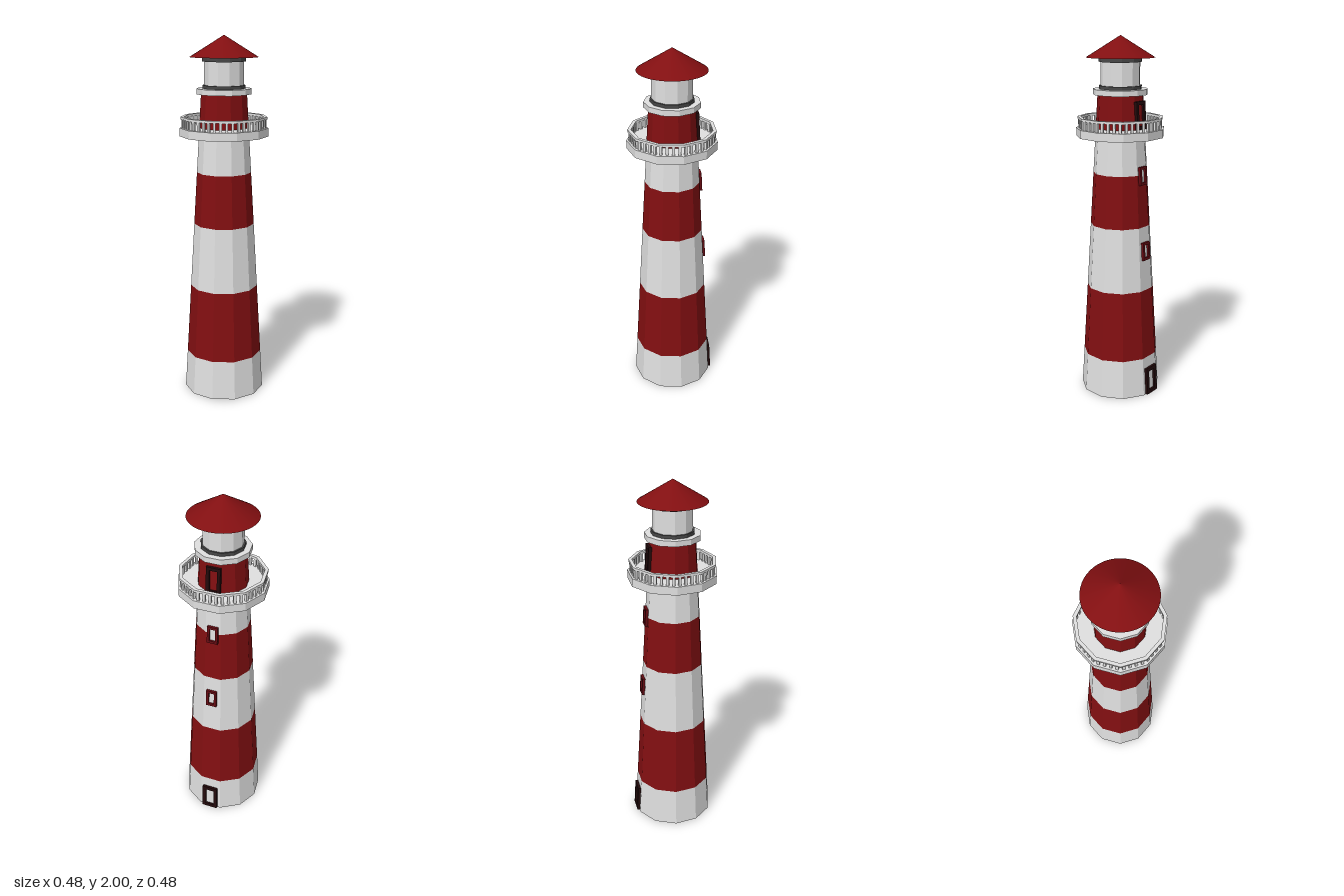
import * as THREE from 'three';
import { mergeGeometries } from 'three/addons/utils/BufferGeometryUtils.js';

const SIDES = 11;
const DOOR_ANGLE = Math.PI * 0.75;               // direction the door and windows face
const START = DOOR_ANGLE + Math.PI / SIDES;      // a corner of the polygon
const APOTHEM = Math.cos(Math.PI / SIDES);
const BASE_R = 0.225, TOP_R = 0.125, TOWER_H = 1.69;
const towerRadius = (y) => BASE_R + (TOP_R - BASE_R) * y / TOWER_H;

function flat(geometry) {
  const g = geometry.toNonIndexed();
  g.computeVertexNormals();
  return g;
}

export function createModel() {
  const model = new THREE.Group();
  model.name = 'lighthouse';

  const mat = (name, color) => {
    const m = new THREE.MeshStandardMaterial({ color });
    m.name = name;
    return m;
  };
  const white = mat('white', 0xe0e0e0);
  const red = mat('red', 0x820f11);
  const windowRed = mat('window red', 0x650b12);
  const doorDark = mat('door dark', 0x220a0b);
  const metal = mat('dark metal', 0x474747);
  const underside = mat('underside', 0x3a272d);

  const add = (name, geometry, material, parent = model) => {
    const mesh = new THREE.Mesh(geometry, material);
    mesh.name = name;
    parent.add(mesh);
    return mesh;
  };

  // Faceted drum between two heights
  const drum = (name, r0, r1, y0, y1, material, open = false) => {
    const g = new THREE.CylinderGeometry(r1, r0, y1 - y0, SIDES, 1, open, START);
    g.translate(0, (y0 + y1) / 2, 0);
    return add(name, flat(g), material);
  };

  // Tapered tower in alternating bands
  const levels = [0, 0.22, 0.615, 0.975, 1.265, 1.48, TOWER_H];
  const bandColours = [white, red, white, red, white, red];
  bandColours.forEach((m, i) => {
    const [y0, y1] = [levels[i], levels[i + 1]];
    drum('towerBand' + (i + 1), towerRadius(y0), towerRadius(y1), y0, y1, m, true);
  });
  const base = new THREE.CircleGeometry(BASE_R, SIDES, START - Math.PI / 2);
  add('towerBase', base.rotateX(Math.PI / 2).rotateY(0), underside);
  // Align the base polygon with the tower corners
  base.rotateY(2 * START - Math.PI);
  base.rotateY(baseOffset(base));

  // Gallery deck
  drum('galleryDeck', 0.243, 0.243, 1.465, 1.51, white);

  // Gallery handrail
  const rail = [[0.236, 1.557], [0.236, 1.57], [0.217, 1.57], [0.217, 1.557], [0.236, 1.557]]
    .map(([x, y]) => new THREE.Vector2(x, y));
  add('galleryRail', flat(new THREE.LatheGeometry(rail, SIDES, START)), white);

  // Balusters, evenly spaced along each side
  const perSide = 4, balusterR = 0.227, posts = [];
  const sideLength = 2 * balusterR * Math.sin(Math.PI / SIDES);
  for (let s = 0; s < SIDES; s++) {
    for (let i = 0; i < perSide; i++) {
      const post = new THREE.BoxGeometry(0.014, 0.05, 0.012);
      post.translate(((i + 0.5) / perSide - 0.5) * sideLength, 1.534, balusterR * APOTHEM);
      posts.push(post.rotateY(DOOR_ANGLE + s * 2 * Math.PI / SIDES));
    }
  }
  add('balusters', mergeGeometries(posts), white);

  // Lantern room
  drum('lanternDeck', 0.15, 0.15, 1.69, 1.72, white);
  drum('lanternLowerRing', 0.117, 0.117, 1.72, 1.738, metal);
  drum('lanternRoom', 0.108, 0.108, 1.738, 1.862, white);
  drum('lanternUpperRing', 0.117, 0.117, 1.862, 1.888, metal);

  // Conical roof
  add('roof', new THREE.ConeGeometry(0.185, 0.115, 48).translate(0, 1.9425, 0), red);

  // Framed openings lying on the sloped wall
  const tilt = Math.atan((BASE_R - TOP_R) * APOTHEM / TOWER_H);
  const opening = (name, y0, w, h, border, frameMat, paneMat) => {
    const group = new THREE.Group();
    group.name = name;
    const r = towerRadius(y0) * APOTHEM;
    group.position.set(Math.sin(DOOR_ANGLE) * r, y0, Math.cos(DOOR_ANGLE) * r);
    group.rotation.set(-tilt, DOOR_ANGLE, 0, 'YXZ');
    const rect = (P, hw, a, b) => {
      const p = new P();
      p.moveTo(-hw, a); p.lineTo(hw, a); p.lineTo(hw, b); p.lineTo(-hw, b); p.closePath();
      return p;
    };
    const shape = rect(THREE.Shape, w / 2, 0, h);
    shape.holes.push(rect(THREE.Path, w / 2 - border, border, h - border));
    const frame = new THREE.ExtrudeGeometry(shape, { depth: 0.025, bevelEnabled: false });
    add(name + 'Frame', frame.translate(0, 0, -0.01), frameMat, group);
    const pane = new THREE.BoxGeometry(w - 2 * border, h - 2 * border, 0.006);
    add(name + 'Pane', pane.translate(0, h / 2, 0), paneMat, group);
    model.add(group);
  };
  opening('entranceDoor', 0.002, 0.092, 0.155, 0.021, doorDark, white);
  opening('lowerWindow', 0.79, 0.06, 0.1, 0.014, windowRed, white);
  opening('upperWindow', 1.21, 0.06, 0.1, 0.014, windowRed, white);
  opening('galleryDoor', 1.51, 0.078, 0.15, 0.018, doorDark, red);

  return model;
}

// Turn needed to bring the first rim corner of a disc onto a tower corner
function baseOffset(disc) {
  const p = disc.attributes.position;
  return START - Math.atan2(p.getX(1), p.getZ(1));
}
